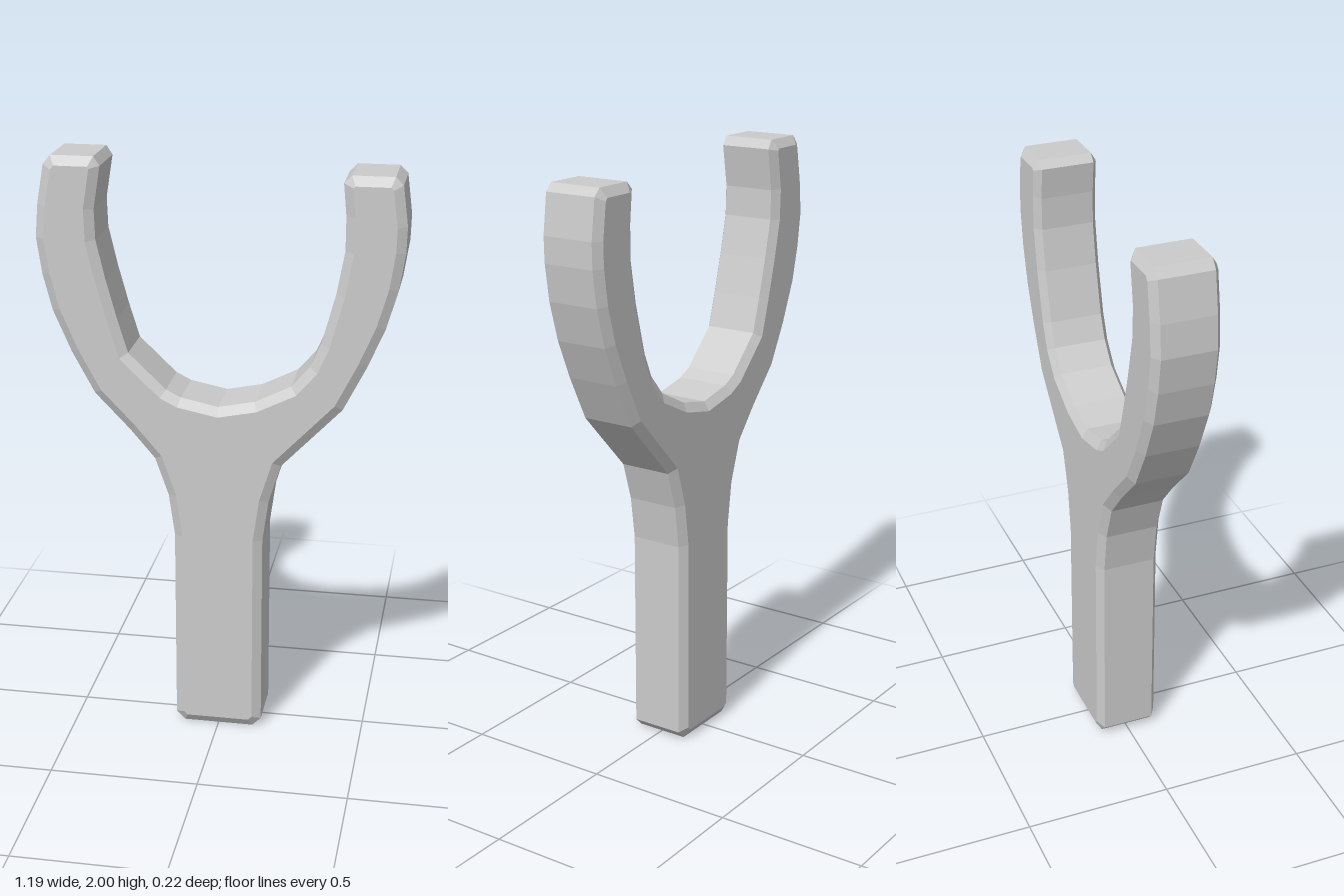
import * as THREE from 'three';

export function createModel() {
  const group = new THREE.Group();
  const material = new THREE.MeshStandardMaterial({ color: 0xcccccc, flatShading: true });

  const outline = [
    // handle, right edge, up to the outside of the right prong
    [-0.12, 0], [-0.15, 0.03], [-0.15, 0.715], [-0.17, 0.86], [-0.215, 0.99], [-0.3, 1.09],
    [-0.415, 1.21], [-0.49, 1.35], [-0.55, 1.49], [-0.58, 1.61], [-0.597, 1.73], [-0.588, 1.84],
    // right prong tip
    [-0.565, 1.97], [-0.54, 2], [-0.4, 2], [-0.38, 1.97],
    // inside of the fork
    [-0.403, 1.83], [-0.4, 1.73], [-0.37, 1.6], [-0.335, 1.47], [-0.3, 1.355], [-0.175, 1.235],
    [-0.125, 1.21], [0, 1.185], [0.12, 1.21], [0.24, 1.27], [0.3, 1.34], [0.335, 1.42],
    [0.38, 1.59], [0.405, 1.73], [0.405, 1.84],
    // left prong tip, lower than the right one
    [0.395, 1.945], [0.42, 1.97], [0.555, 1.97], [0.58, 1.945],
    // outside of the left prong, down to the handle
    [0.597, 1.815], [0.595, 1.73], [0.577, 1.61], [0.54, 1.48], [0.485, 1.35], [0.41, 1.2],
    [0.315, 1.1], [0.21, 0.99], [0.17, 0.86], [0.15, 0.715], [0.15, 0.03], [0.12, 0],
  ].map(([x, y]) => new THREE.Vector2(x, y));

  // forked body with a single chamfer, cut inward from the outline
  const geometry = new THREE.ExtrudeGeometry(new THREE.Shape(outline), {
    depth: 0.18,
    bevelEnabled: true,
    bevelThickness: 0.02,
    bevelSize: 0.03,
    bevelOffset: -0.03,
    bevelSegments: 1,
  });
  geometry.translate(0, 0, -0.09);

  const frame = new THREE.Mesh(geometry, material);
  frame.name = 'forkedFrame';
  group.add(frame);
  return group;
}
